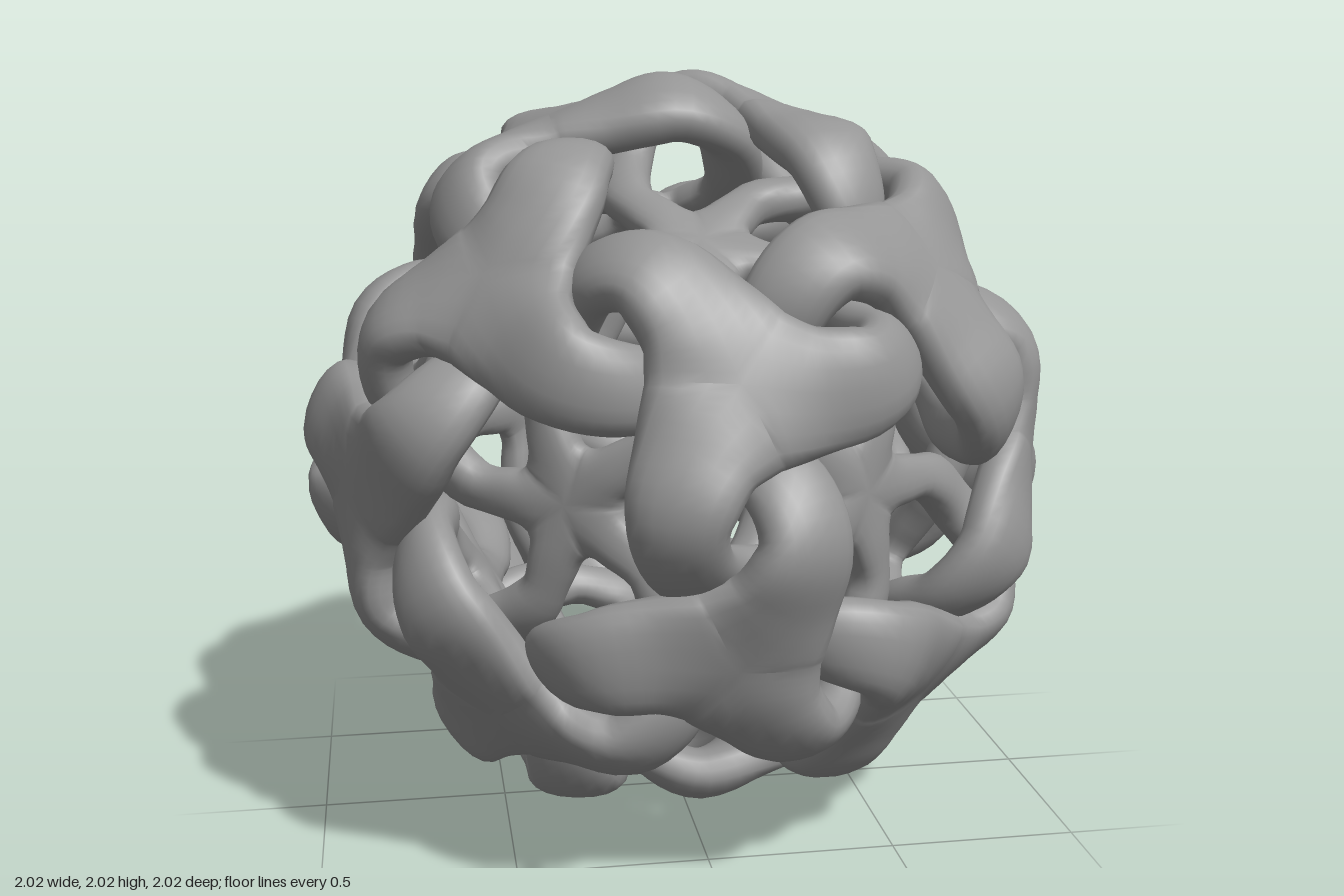
import * as THREE from 'three';
import { mergeGeometries, mergeVertices } from 'three/addons/utils/BufferGeometryUtils.js';

const V = (x, y, z) => new THREE.Vector3(x, y, z);
const PHI = (1 + Math.sqrt(5)) / 2;
const AROUND = 20, ALONG = 36;

// The 20 three-fold axes: corners of a dodecahedron.
function dodecahedronCorners() {
  const out = [], s = [-1, 1];
  for (const a of s) for (const b of s) {
    for (const c of s) out.push(V(a, b, c));
    out.push(V(0, a / PHI, b * PHI), V(b * PHI, 0, a / PHI), V(a / PHI, b * PHI, 0));
  }
  return out.map((p) => p.normalize());
}

// One arm: starts as a third of an outer trefoil, hooks round the edge
// axis, dives under its neighbour and ends as a fifth of an inner star.
// Local frame: x towards the neighbouring trefoil, z outward.
function armGeometry() {
  const trefoilAxis = V(-1 / PHI, 0, PHI).normalize();
  const neighbour = V(1 / PHI, 0, PHI).normalize();
  const starAxis = V(0, 1, PHI).normalize();
  const trefoil = trefoilAxis.clone().multiplyScalar(0.895);
  const star = starAxis.clone().multiplyScalar(0.67);

  const swirl = -0.6;
  const leave = V(trefoilAxis.z, 0, -trefoilAxis.x).multiplyScalar(Math.cos(swirl));
  leave.y = Math.sin(swirl);
  const arrive = neighbour.clone().projectOnPlane(starAxis).normalize();

  const path = new THREE.CatmullRomCurve3([
    trefoil,
    trefoil.clone().addScaledVector(leave, 0.16),
    V(-0.03, -0.148, 0.92),
    V(0.095, -0.108, 0.86),
    V(0.148, -0.005, 0.75),
    V(0.152, 0.14, 0.685),
    star.clone().addScaledVector(arrive, 0.13),
    star,
  ]);
  // half width, half thickness, and how far the section is bent into a V
  const size = new THREE.CatmullRomCurve3([
    V(0.185, 0.066, 1 / Math.tan(Math.PI / 3)),
    V(0.148, 0.069, 0.25),
    V(0.122, 0.07, 0),
    V(0.108, 0.066, 0),
    V(0.085, 0.062, 0),
    V(0.068, 0.056, 0),
    V(0.066, 0.052, -0.4),
    V(0.085, 0.05, -1 / Math.tan(Math.PI / 5)),
  ]);

  // carry the frame along the path, then ease it onto the star's axis
  const frames = [];
  let up = trefoilAxis.clone();
  for (let i = 0; i <= ALONG; i++) {
    const t = i / ALONG, T = path.getTangent(t);
    up = up.clone().projectOnPlane(T).normalize();
    frames.push({ t, T, up });
  }
  const last = frames[ALONG];
  const goal = starAxis.clone().multiplyScalar(Math.sign(last.up.dot(starAxis)) || 1);
  const twist = Math.atan2(last.T.dot(last.up.clone().cross(goal)), last.up.dot(goal));

  const soften = (v, e) => (Math.abs(v) < 1e-9 ? 0 : Math.sign(v) * Math.abs(v) ** e);
  const pos = [], index = [];
  frames.forEach(({ t, T, up: u0 }, i) => {
    // the hook banks outward; both hubs are flatter than the arm between
    const bank = 0.35 * Math.sin(Math.PI * Math.min(t / 0.57, 1)) ** 2;
    const flat = 0.95 - 0.3 * Math.cos(Math.PI * t) ** 2;
    const u = u0.clone().applyAxisAngle(T, bank + twist * THREE.MathUtils.smoothstep(t, 0.4, 1));
    const side = T.clone().cross(u), c = path.getPoint(t), s = size.getPoint(t);
    for (let j = 0; j < AROUND; j++) {
      const a = (j / AROUND) * Math.PI * 2;
      const x = s.x * soften(Math.cos(a), 0.9), y = s.y * soften(Math.sin(a), flat);
      const p = c.clone().addScaledVector(side, x).addScaledVector(u, y)
        .addScaledVector(T, Math.abs(x) * s.z);
      pos.push(p.x, p.y, p.z);
      if (i < ALONG) {
        const k = i * AROUND + j, n = i * AROUND + ((j + 1) % AROUND);
        index.push(k, k + AROUND, n, n, k + AROUND, n + AROUND);
      }
    }
  });
  const g = new THREE.BufferGeometry();
  g.setAttribute('position', new THREE.Float32BufferAttribute(pos, 3));
  g.setIndex(index);
  return g;
}

export function createModel() {
  const group = new THREE.Group();
  group.name = 'wovenBall';
  const arm = armGeometry(), arms = [], corners = dodecahedronCorners();

  // two arms over each of the 30 dodecahedron edges
  for (const a of corners) for (const b of corners) {
    if (a === b || a.dot(b) < 0.7) continue;
    const z = a.clone().add(b).normalize();
    const x = b.clone().sub(a).normalize();
    const m = new THREE.Matrix4().makeBasis(x, z.clone().cross(x), z);
    arms.push(arm.clone().applyMatrix4(m));
  }

  // weld the arms so trefoils and stars shade as one smooth skin
  const skin = mergeVertices(mergeGeometries(arms), 1e-4);
  skin.computeVertexNormals();
  skin.translate(0, 1, 0);

  const mesh = new THREE.Mesh(skin, new THREE.MeshStandardMaterial({ color: 0x959595 }));
  mesh.name = 'interlockedTrefoilsAndStars';
  group.add(mesh);
  return group;
}
